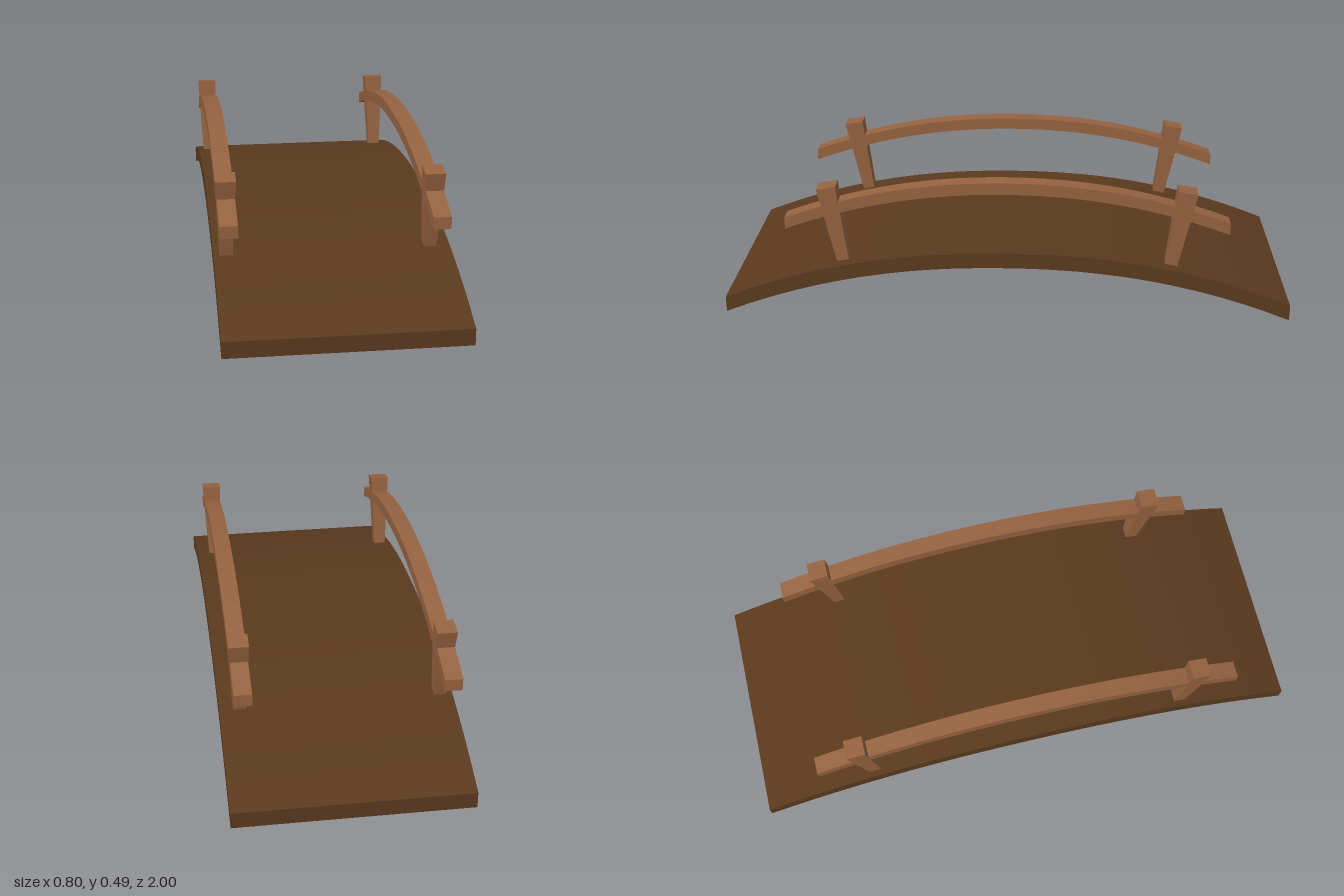
import * as THREE from 'three';
import { toCreasedNormals } from 'three/addons/utils/BufferGeometryUtils.js';

const deckWood = new THREE.MeshStandardMaterial({ color: 0x5a3a1e });
const railWood = new THREE.MeshStandardMaterial({ color: 0x966340 });

// Arched beam along z: top height falls from `crown` by `drop` at z = +-half
function archedBeam({ half, crown, drop, power, thickness, width }) {
  const steps = 24;
  const top = [], bottom = [];
  for (let i = 0; i <= steps; i++) {
    const t = (i / steps) * 2 - 1;
    const y = crown - drop * Math.pow(Math.abs(t), power);
    top.push(new THREE.Vector2(t * half, y));
    bottom.push(new THREE.Vector2(t * half, y - thickness));
  }
  const shape = new THREE.Shape([...bottom, ...top.reverse()]);
  const geometry = new THREE.ExtrudeGeometry(shape, { depth: width, bevelEnabled: false });
  geometry.translate(0, 0, -width / 2).rotateY(-Math.PI / 2);
  return toCreasedNormals(geometry, Math.PI / 6);
}

// Square post standing on its origin, narrowing towards the foot
function taperedPost(topSize, footSize, height) {
  const geometry = new THREE.BoxGeometry(1, height, 1).translate(0, height / 2, 0);
  const p = geometry.attributes.position;
  for (let i = 0; i < p.count; i++) {
    const size = p.getY(i) > height / 2 ? topSize : footSize;
    p.setX(i, p.getX(i) * size);
    p.setZ(i, p.getZ(i) * size);
  }
  geometry.computeVertexNormals();
  return geometry;
}

export function createModel() {
  const bridge = new THREE.Group();
  bridge.name = 'archedBridge';

  const add = (name, geometry, material, x = 0, y = 0, z = 0) => {
    const mesh = new THREE.Mesh(geometry, material);
    mesh.name = name;
    mesh.position.set(x, y, z);
    bridge.add(mesh);
    return mesh;
  };

  // Walkway
  add('deck', archedBeam({
    half: 1, crown: 0.243, drop: 0.186, power: 2.2, thickness: 0.057, width: 0.8,
  }), deckWood);

  // Handrails with two outward-leaning posts each
  const rail = archedBeam({
    half: 0.778, crown: 0.49, drop: 0.139, power: 2.1, thickness: 0.042, width: 0.06,
  });
  const post = taperedPost(0.068, 0.043, 0.284);
  for (const [side, x] of [['left', 0.332], ['right', -0.357]]) {
    add(side + 'Handrail', rail, railWood, x);
    for (const [end, s] of [['Front', 1], ['Back', -1]]) {
      add(side + end + 'Post', post, railWood, x, 0.184, s * 0.58).rotation.x = s * 0.167;
    }
  }
  return bridge;
}
